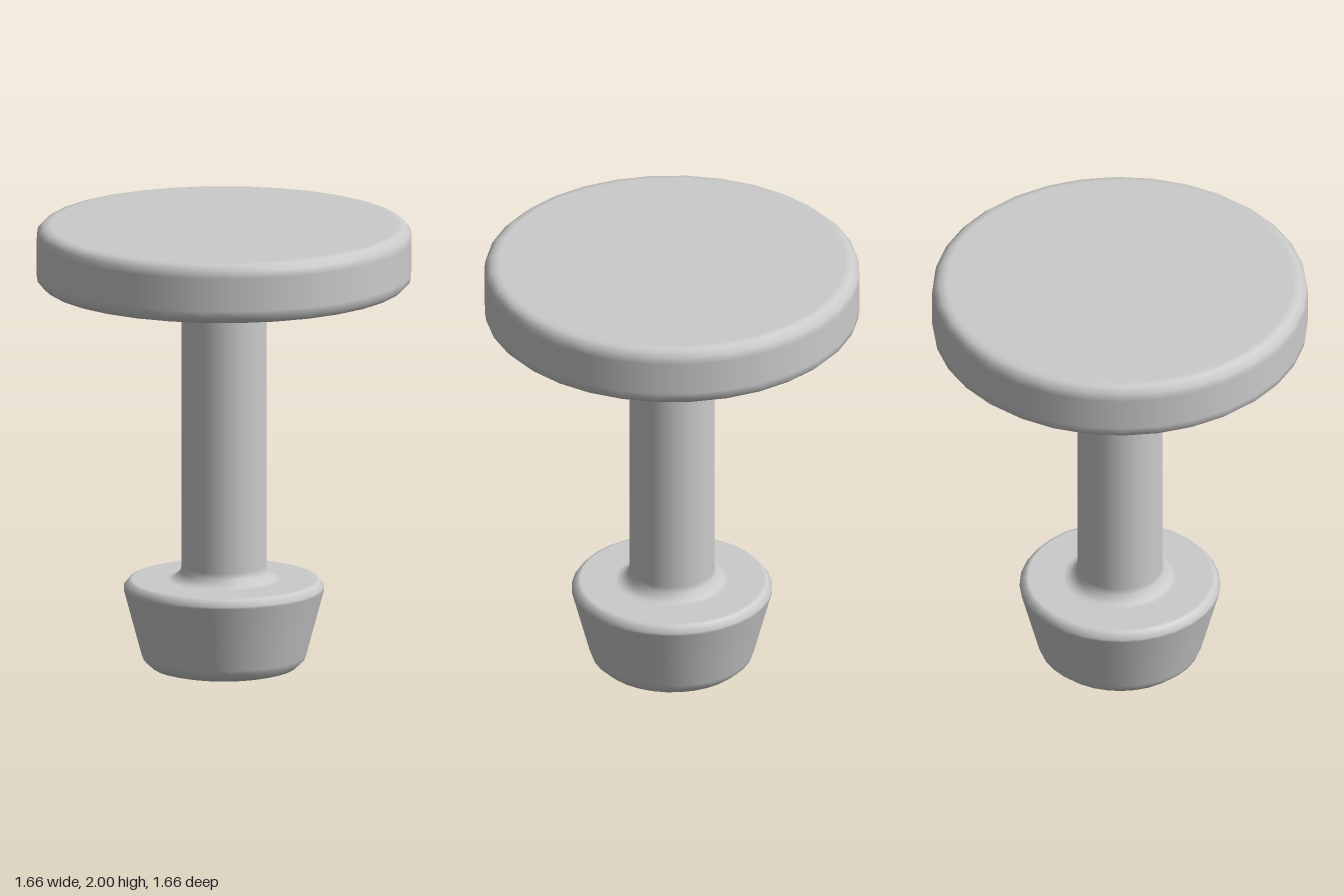
import * as THREE from 'three';

const SEGMENTS = 32;

// Revolve rows of [radius, y, normalAngle]; the angle (degrees) runs from
// -90 (down) through 0 (outward) to 90 (up), so flats stay flat and bevels blend.
function revolve(name, rows, material) {
  const points = rows.map(([r, y]) => new THREE.Vector2(r, y));
  const geometry = new THREE.LatheGeometry(points, SEGMENTS);
  const normal = geometry.attributes.normal;
  for (let i = 0; i <= SEGMENTS; i++) {
    const phi = (i / SEGMENTS) * Math.PI * 2;
    rows.forEach(([, , angle], j) => {
      const a = THREE.MathUtils.degToRad(angle);
      normal.setXYZ(i * rows.length + j,
        Math.cos(a) * Math.sin(phi), Math.sin(a), Math.cos(a) * Math.cos(phi));
    });
  }
  const mesh = new THREE.Mesh(geometry, material);
  mesh.name = name;
  return mesh;
}

export function createModel() {
  const material = new THREE.MeshStandardMaterial({ color: 0xcccccc });
  const group = new THREE.Group();
  group.name = 'pedestalStool';

  // Tapered foot with bevelled rims
  group.add(revolve('foot', [
    [0, 0, -90], [0.285, 0, -90], [0.32, 0.01, -65], [0.355, 0.042, -30], [0.364, 0.065, -15],
    [0.443, 0.36, -15], [0.442, 0.37, 15], [0.42, 0.398, 55], [0.405, 0.403, 90], [0.25, 0.403, 90],
  ], material));

  // Stem, flared where it meets foot and top
  group.add(revolve('stem', [
    [0.25, 0.403, 90], [0.225, 0.408, 65], [0.192, 0.438, 25], [0.187, 0.465, 0],
    [0.187, 1.665, 0], [0.192, 1.692, -25], [0.225, 1.722, -65], [0.25, 1.727, -90],
  ], material));

  // Round top with bevelled edges
  group.add(revolve('roundTop', [
    [0.25, 1.727, -90], [0.765, 1.727, -90], [0.797, 1.732, -65], [0.824, 1.757, -25], [0.829, 1.79, 0],
    [0.829, 1.937, 0], [0.824, 1.97, 25], [0.797, 1.995, 65], [0.765, 2, 90], [0, 2, 90],
  ], material));

  return group;
}
